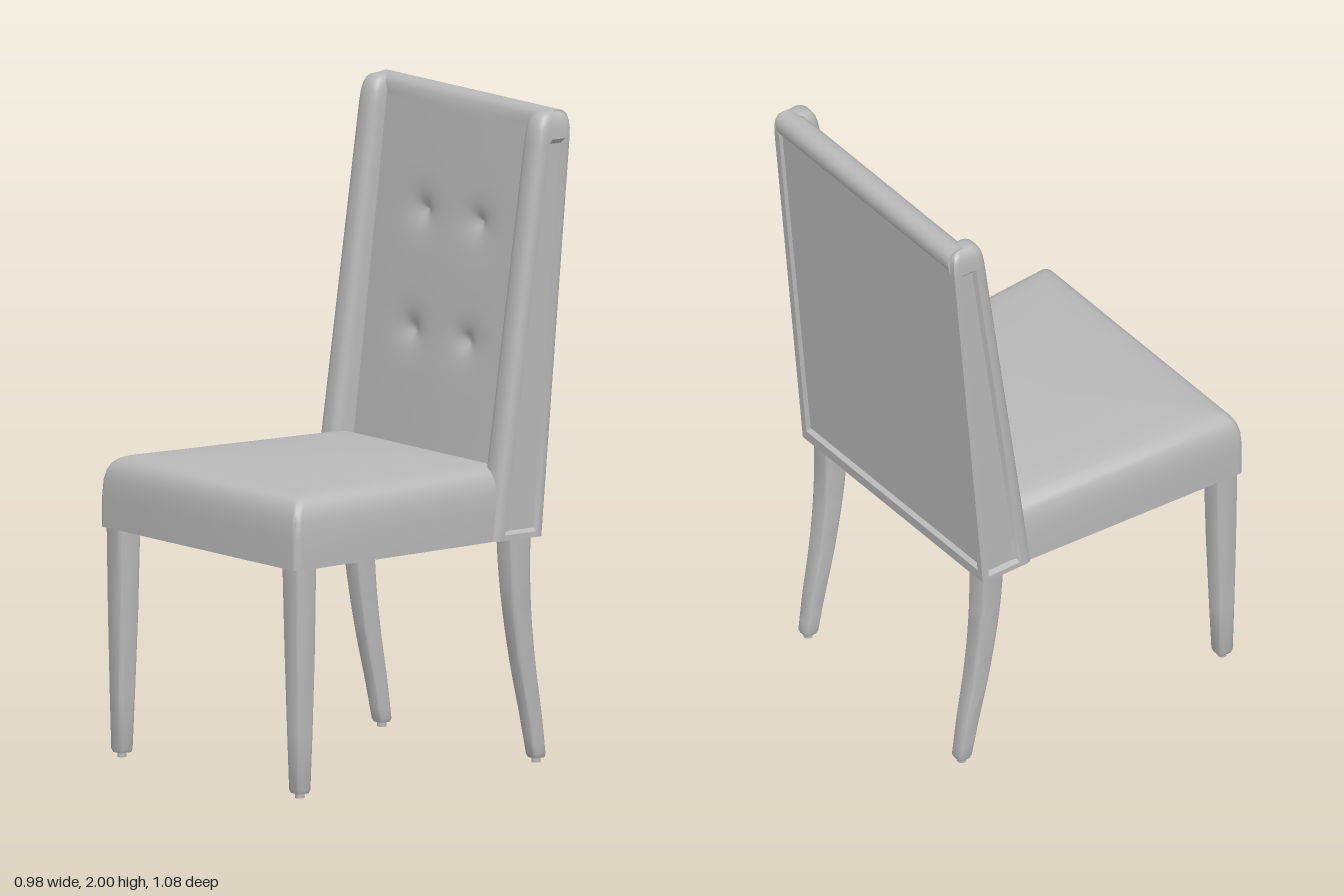
import * as THREE from 'three';
import { toCreasedNormals } from 'three/addons/utils/BufferGeometryUtils.js';

const V = (x, y, z) => new THREE.Vector3(x, y, z);
const lerp = THREE.MathUtils.lerp;

// Skin closed rings of points, with fan caps at both ends.
function loft(rings, crease = 0.7) {
  const pos = [];
  const tri = (...pts) => pts.forEach((p) => pos.push(p.x, p.y, p.z));
  const n = rings[0].length;
  const centre = (r) => r.reduce((s, p) => s.add(p), V(0, 0, 0)).divideScalar(n);
  for (let i = 0; i < rings.length - 1; i++) {
    for (let j = 0; j < n; j++) {
      const k = (j + 1) % n;
      const a = rings[i][j], b = rings[i][k], c = rings[i + 1][k], d = rings[i + 1][j];
      tri(a, d, b);
      tri(b, d, c);
    }
  }
  const first = rings[0], last = rings[rings.length - 1];
  const c0 = centre(first), c1 = centre(last);
  for (let j = 0; j < n; j++) {
    const k = (j + 1) % n;
    tri(c0, first[j], first[k]);
    tri(c1, last[k], last[j]);
  }
  const g = new THREE.BufferGeometry();
  g.setAttribute('position', new THREE.Float32BufferAttribute(pos, 3));
  return toCreasedNormals(g, crease);
}

// Horizontal rounded trapezoid: half widths at front and back, corner radius r.
function trapezoid(y, front, back, zFront, zBack, r, steps = 5) {
  const corners = [
    [front - r, zFront - r, 0], [-front + r, zFront - r, 1],
    [-back + r, zBack + r, 2], [back - r, zBack + r, 3],
  ];
  const pts = [];
  for (const [x, z, q] of corners) {
    for (let i = 0; i <= steps; i++) {
      const a = (q + i / steps) * Math.PI / 2;
      pts.push(V(x + r * Math.cos(a), y, z + r * Math.sin(a)));
    }
  }
  return pts;
}

// Seat pad with a rolled top edge and a soft crown.
function seatGeometry() {
  const levels = [
    [0.705, 0], [0.8, 0], [0.85, 0.003], [0.88, 0.01], [0.9, 0.02],
    [0.914, 0.035], [0.922, 0.055], [0.927, 0.1], [0.932, 0.2], [0.935, 0.3],
  ];
  return loft(levels.map(([y, d]) =>
    trapezoid(y, 0.49 - d, 0.442 - d, 0.54 - d, -0.32 + d * 0.3, 0.022)), 0.8);
}

// Backrest cushion: vertical profile swept across x, pinched at four tufts.
function cushionGeometry() {
  const tufts = [];
  for (const x of [-0.135, 0.135]) for (const y of [1.26, 1.62]) tufts.push([x, y]);
  const rings = [];
  const cols = 76, rows = 84, half = 0.43;
  for (let i = 0; i <= cols; i++) {
    const x = lerp(-half, half, i / cols);
    const bow = 0.014 * Math.max(0, 1 - (x / 0.37) ** 2);
    const ring = [];
    for (let j = 0; j <= rows; j++) {
      const y = lerp(0.705, 1.95, j / rows);
      let z = -0.335 - 0.122 * (y - 0.93) + bow * (1 - 0.5 * j / rows);
      for (const [tx, ty] of tufts) {
        const r = Math.hypot((x - tx) * 0.8, y - ty);
        z -= 0.034 * Math.exp(-r / 0.032);
      }
      ring.push(V(x, y, z));
    }
    const rim = [
      [1.975, -0.458], [1.99, -0.467], [1.998, -0.482], [2, -0.5], [1.996, -0.517],
      [1.985, -0.53], [1.97, -0.537], [1.945, -0.535], [1.932, -0.53], [1.928, -0.516],
      [0.748, -0.408], [0.742, -0.424], [0.705, -0.42],
    ];
    rim.forEach(([y, z]) => ring.push(V(x, y, z)));
    rings.push(ring);
  }
  return loft(rings, 0.8);
}

// Side wing: rounded front roll, recessed outer strip and a back edge bead.
function wingGeometry(side) {
  const levels = [ // y, scale, recess depth
    [0.705, 1, 0], [0.722, 1, 0], [0.732, 1, 0.014], [1.2, 1, 0.014], [1.6, 1, 0.014],
    [1.9, 1, 0.014], [1.915, 1, 0], [1.945, 0.98, 0], [1.968, 0.91, 0],
    [1.984, 0.78, 0], [1.993, 0.58, 0], [1.997, 0.3, 0],
  ];
  return loft(levels.map(([y, s, d]) => {
    const t = (y - 0.705) / 1.245;
    const zf = lerp(-0.23, -0.408, t), zb = lerp(-0.42, -0.53, t);
    const section = [
      [0.45, zb], [0.456, zb + 0.008], [0.456, zb + 0.02], [0.455 - d, zb + 0.026],
      [0.455 - d, zf - 0.054], [0.455, zf - 0.046], [0.457, zf - 0.032],
      [0.452, zf - 0.014], [0.44, zf - 0.004], [0.424, zf], [0.4, zf],
      [0.384, zf - 0.004], [0.374, zf - 0.014], [0.369, zf - 0.032],
      [0.37, zb + 0.05], [0.425, zb + 0.03], [0.428, zb],
    ];
    const zm = (zf + zb) / 2;
    const ring = section.map(([x, z]) =>
      V(side * lerp(0.413, x, s), y, lerp(zm, z, s)));
    return side > 0 ? ring : ring.reverse();
  }), 0.75);
}

// Tapered leg following stations of [y, x, z, half width].
function legGeometry(stations, side) {
  return loft(stations.map(([y, x, z, h]) =>
    trapezoid(y, h, h, h, -h, h * 0.4, 4).map((p) => p.add(V(side * x, 0, z)))), 0.7);
}

export function createModel() {
  const model = new THREE.Group();
  model.name = 'diningChair';
  const grey = new THREE.MeshStandardMaterial({ color: 0xb8b8b8 });
  grey.name = 'plain grey';
  const add = (name, geometry) => {
    const mesh = new THREE.Mesh(geometry, grey);
    mesh.name = name;
    model.add(mesh);
    return mesh;
  };

  add('seat', seatGeometry());
  add('backCushion', cushionGeometry());

  const frontLeg = [
    [0.015, 0.443, 0.49, 0.022], [0.025, 0.443, 0.49, 0.026], [0.2, 0.442, 0.489, 0.031],
    [0.45, 0.44, 0.488, 0.037], [0.71, 0.438, 0.488, 0.041],
  ];
  const curve = new THREE.CatmullRomCurve3([
    V(0.384, 0.025, -0.449), V(0.385, 0.15, -0.428), V(0.386, 0.3, -0.399),
    V(0.387, 0.45, -0.377), V(0.388, 0.58, -0.365), V(0.389, 0.72, -0.36),
  ]);
  const backLeg = curve.getPoints(18).map((p, i) => [p.y, p.x, p.z, lerp(0.024, 0.042, i / 18)]);
  backLeg.unshift([0.015, 0.384, -0.45, 0.02]);

  for (const [side, label] of [[1, 'left'], [-1, 'right']]) {
    add(label + 'Wing', wingGeometry(side));
    add(label + 'FrontLeg', legGeometry(frontLeg, side));
    add(label + 'BackLeg', legGeometry(backLeg, side));
    // Small glides under the feet
    for (const [x, z, part] of [[0.443, 0.49, 'FrontGlide'], [0.384, -0.45, 'BackGlide']]) {
      add(label + part, new THREE.CylinderGeometry(0.014, 0.014, 0.018, 12))
        .position.set(side * x, 0.009, z);
    }
  }
  return model;
}
